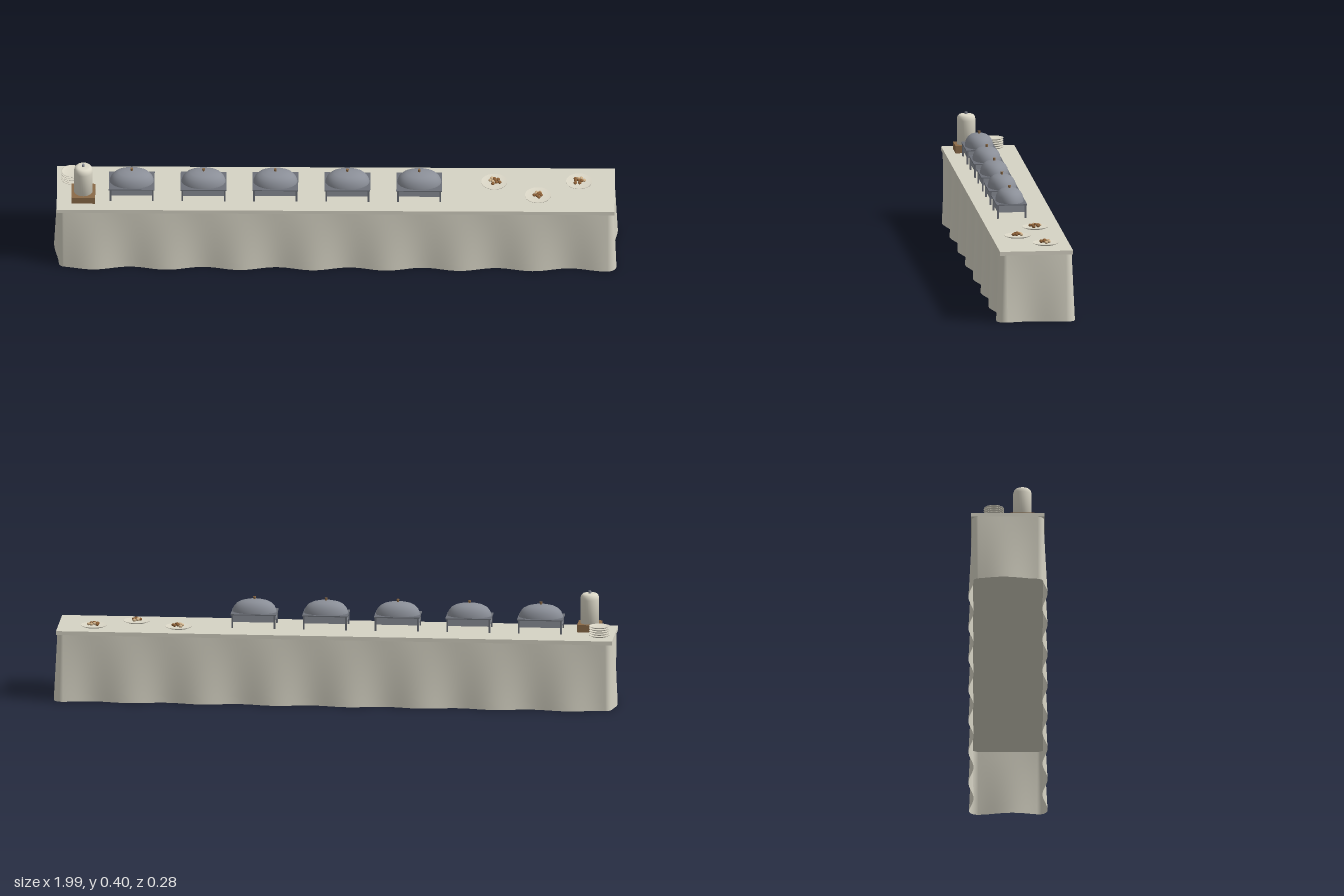
import * as THREE from 'three';

const mat = (name, color, side = THREE.FrontSide) => {
  const m = new THREE.MeshStandardMaterial({ color, side });
  m.name = name;
  return m;
};

const TOP = 0.254; // height of the tabletop

export function createModel() {
  const cloth = mat('linen cloth', 0xd6d3c4, THREE.DoubleSide);
  const china = mat('cream china', 0xdcd8c8, THREE.DoubleSide);
  const steel = mat('steel', 0x8b8f98);
  const darkSteel = mat('dark steel', 0x6c7078);
  const wood = mat('wood', 0x8a6a48);
  const pastry = mat('brown pastry', 0x8f6238);
  const cream = mat('pale pastry', 0xd2b48c);

  const model = new THREE.Group();
  model.name = 'buffetTable';

  const add = (parent, name, geometry, material, x = 0, y = 0, z = 0) => {
    const mesh = new THREE.Mesh(geometry, material);
    mesh.name = name;
    mesh.position.set(x, y, z);
    parent.add(mesh);
    return mesh;
  };
  const group = (name, x, z) => {
    const g = new THREE.Group();
    g.name = name;
    g.position.set(x, TOP, z);
    model.add(g);
    return g;
  };
  const lathe = (points, sides = 28) =>
    new THREE.LatheGeometry(points.map(([r, y]) => new THREE.Vector2(r, y)), sides);

  // Tabletop
  add(model, 'tabletop', new THREE.BoxGeometry(1.974, 0.014, 0.26), cloth, 0, TOP - 0.007, 0);

  // Skirt: a rounded rectangle flaring into soft folds at the floor, open below
  add(model, 'skirt', skirtGeometry(0.984, 0.127, TOP - 0.01), cloth);

  // Chafing dishes
  const dome = lathe([[1, 0], [0.99, 0.15], [0.93, 0.42], [0.8, 0.68], [0.6, 0.86], [0.32, 0.97], [0, 1]], 32);
  dome.scale(0.078, 0.045, 0.05);
  for (const x of [-0.722, -0.468, -0.214, 0.041, 0.295]) {
    const dish = group('chafingDish', x, 0.023);
    add(dish, 'pan', new THREE.BoxGeometry(0.152, 0.028, 0.1), steel, 0, 0.036, 0);
    add(dish, 'panRim', new THREE.BoxGeometry(0.162, 0.004, 0.109), darkSteel, 0, 0.049, 0);
    add(dish, 'domeLid', dome, steel, 0, 0.051, 0);
    add(dish, 'lidHandle', new THREE.CylinderGeometry(0.005, 0.004, 0.01, 12), wood, 0, 0.1, 0);
    for (const sx of [-1, 1])
      for (const sz of [-1, 1])
        add(dish, 'leg', new THREE.BoxGeometry(0.006, 0.05, 0.006), darkSteel, sx * 0.075, 0.025, sz * 0.049);
  }

  // Drink dispenser on a wooden stand
  const dispenser = group('dispenser', -0.893, 0.051);
  add(dispenser, 'stand', new THREE.BoxGeometry(0.084, 0.026, 0.084), wood, 0, 0.013, 0);
  add(dispenser, 'body', lathe([
    [0, 0.026], [0.033, 0.026], [0.033, 0.112], [0.0325, 0.119], [0.03, 0.127], [0.025, 0.132], [0.018, 0.133], [0, 0.133],
  ]), china);
  add(dispenser, 'lidKnob', new THREE.CylinderGeometry(0.005, 0.005, 0.009, 14), steel, 0, 0.137, 0);

  // Stack of plates
  const stack = group('plateStack', -0.935, -0.05);
  const plate = lathe([[0, 0], [0.026, 0], [0.036, 0.005], [0.036, 0.0065], [0.033, 0.0065], [0.025, 0.003], [0, 0.003]]);
  for (let i = 0; i < 5; i++) add(stack, 'plate', plate, china, 0, i * 0.008, 0);

  // Serving plates heaped with small pastries
  const platter = lathe([[0, 0], [0.034, 0], [0.046, 0.005], [0.046, 0.007], [0.034, 0.0035], [0, 0.0035]], 32);
  const bite = new THREE.SphereGeometry(0.0065, 10, 8);
  [[0.56, -0.04, 0.021], [0.715, 0.039, 0.016], [0.86, -0.045, 0.02]].forEach(([x, z, spread], p) => {
    const g = group('servingPlate', x, z);
    add(g, 'platter', platter, china);
    for (let i = 0; i < 9; i++) {
      const a = i * 2.4 + p, r = spread * Math.sqrt((i + 0.3) / 9);
      const b = add(g, 'pastry', bite, i % 3 === 1 ? cream : pastry,
        r * Math.cos(a), 0.009 + 0.007 * (1 - r / spread), r * Math.sin(a));
      b.scale.set(1, 0.8, 1);
    }
  });

  return model;
}

// Cloth sheet swept around a rounded rectangle with folds growing downward
function skirtGeometry(hx, hz, height) {
  const r = 0.022, ix = hx - r, iz = hz - r;
  const outline = new THREE.Shape();
  outline.absarc(ix, iz, r, 0, Math.PI / 2);
  outline.absarc(-ix, iz, r, Math.PI / 2, Math.PI);
  outline.absarc(-ix, -iz, r, Math.PI, Math.PI * 1.5);
  outline.absarc(ix, -iz, r, Math.PI * 1.5, Math.PI * 2);
  outline.closePath();

  // Even steps along each stretch between corners
  const ring = [];
  const corners = outline.getPoints(8);
  for (let i = 0; i < corners.length - 1; i++) {
    const a = corners[i], b = corners[i + 1], n = Math.max(1, Math.round(a.distanceTo(b) / 0.014));
    for (let k = 0; k < n && a.distanceTo(b) > 1e-6; k++) ring.push(a.clone().lerp(b, k / n));
  }
  ring.push(ring[0].clone());

  const lengths = [0];
  for (let i = 1; i < ring.length; i++) lengths.push(lengths[i - 1] + ring[i].distanceTo(ring[i - 1]));
  const total = lengths[lengths.length - 1], folds = 17, rows = 8;
  const pos = [], index = [], w = ring.length;
  for (let j = 0; j <= rows; j++) {
    const t = j / rows;
    ring.forEach((p, i) => {
      // Outward direction from the nearest point of the inner rectangle
      const n = new THREE.Vector2(
        p.x - THREE.MathUtils.clamp(p.x, -ix, ix),
        p.y - THREE.MathUtils.clamp(p.y, -iz, iz)).normalize();
      const out = t * (0.004 + 0.009 * Math.sin((lengths[i] / total) * folds * Math.PI * 2 + 0.6));
      pos.push(p.x + n.x * out, height * (1 - t), p.y + n.y * out);
      if (j < rows && i < w - 1) {
        const a = j * w + i, b = a + w;
        index.push(a, a + 1, b, a + 1, b + 1, b);
      }
    });
  }
  const geometry = new THREE.BufferGeometry();
  geometry.setAttribute('position', new THREE.Float32BufferAttribute(pos, 3));
  geometry.setIndex(index);
  geometry.computeVertexNormals();
  return geometry;
}
